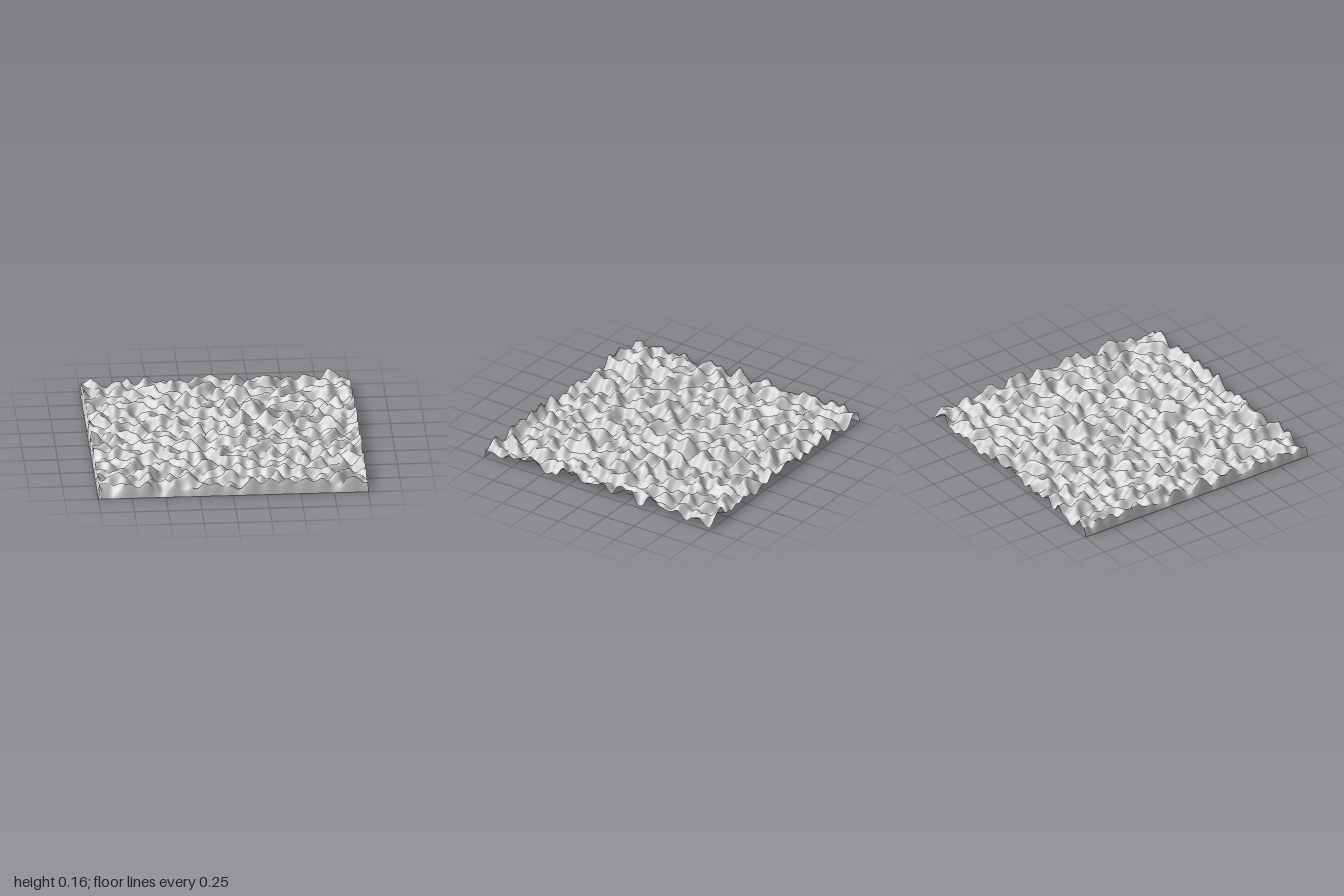
import * as THREE from 'three';

const SIZE = 2, SEGMENTS = 160, CELLS = 21;
const LOW = 0.008, HIGH = 0.158, SHARPNESS = 1.3;

// Seeded random numbers in 0..1
function seeded(seed) {
  let s = seed;
  return () => {
    s = (s * 1664525 + 1013904223) % 4294967296;
    return s / 4294967296;
  };
}

// Smooth gradient noise on a square lattice
function makeNoise(cells, seed) {
  const random = seeded(seed), n = cells + 2;
  const angles = Array.from({ length: n * n }, () => random() * Math.PI * 2);
  const fade = t => t * t * t * (t * (t * 6 - 15) + 10);
  const lerp = THREE.MathUtils.lerp;
  return (u, v) => {
    const i = Math.floor(u), j = Math.floor(v), a = u - i, b = v - j;
    const corner = (di, dj) => {
      const angle = angles[(j + dj) * n + i + di];
      return Math.cos(angle) * (a - di) + Math.sin(angle) * (b - dj);
    };
    const s = fade(a);
    return lerp(
      lerp(corner(0, 0), corner(1, 0), s),
      lerp(corner(0, 1), corner(1, 1), s),
      fade(b)
    );
  };
}

export function createModel() {
  const group = new THREE.Group();
  group.name = 'terrain';

  // Rolling height field; the half-cell shift keeps the edges as hilly as the middle
  const geometry = new THREE.PlaneGeometry(SIZE, SIZE, SEGMENTS, SEGMENTS);
  geometry.rotateX(-Math.PI / 2);
  const position = geometry.attributes.position;
  const noise = makeNoise(CELLS, 7);
  const heights = [];
  for (let k = 0; k < position.count; k++) {
    const u = (position.getX(k) / SIZE + 0.5) * CELLS + 0.5;
    const v = (position.getZ(k) / SIZE + 0.5) * CELLS + 0.5;
    heights.push(noise(u, v));
  }
  const peak = Math.max(...heights), valley = Math.min(...heights);

  // Pointed hills over broad valleys; the front row and the -x column fall to the ground
  for (let k = 0; k < position.count; k++) {
    const column = k % (SEGMENTS + 1), row = Math.floor(k / (SEGMENTS + 1));
    const onGround = column === 0 || row === SEGMENTS;
    const rise = ((heights[k] - valley) / (peak - valley)) ** SHARPNESS;
    position.setY(k, onGround ? 0 : THREE.MathUtils.lerp(LOW, HIGH, rise));
  }
  geometry.computeVertexNormals();

  const material = new THREE.MeshStandardMaterial({ color: 0xcccccc, side: THREE.DoubleSide });
  const surface = new THREE.Mesh(geometry, material);
  surface.name = 'groundSurface';
  group.add(surface);
  return group;
}
